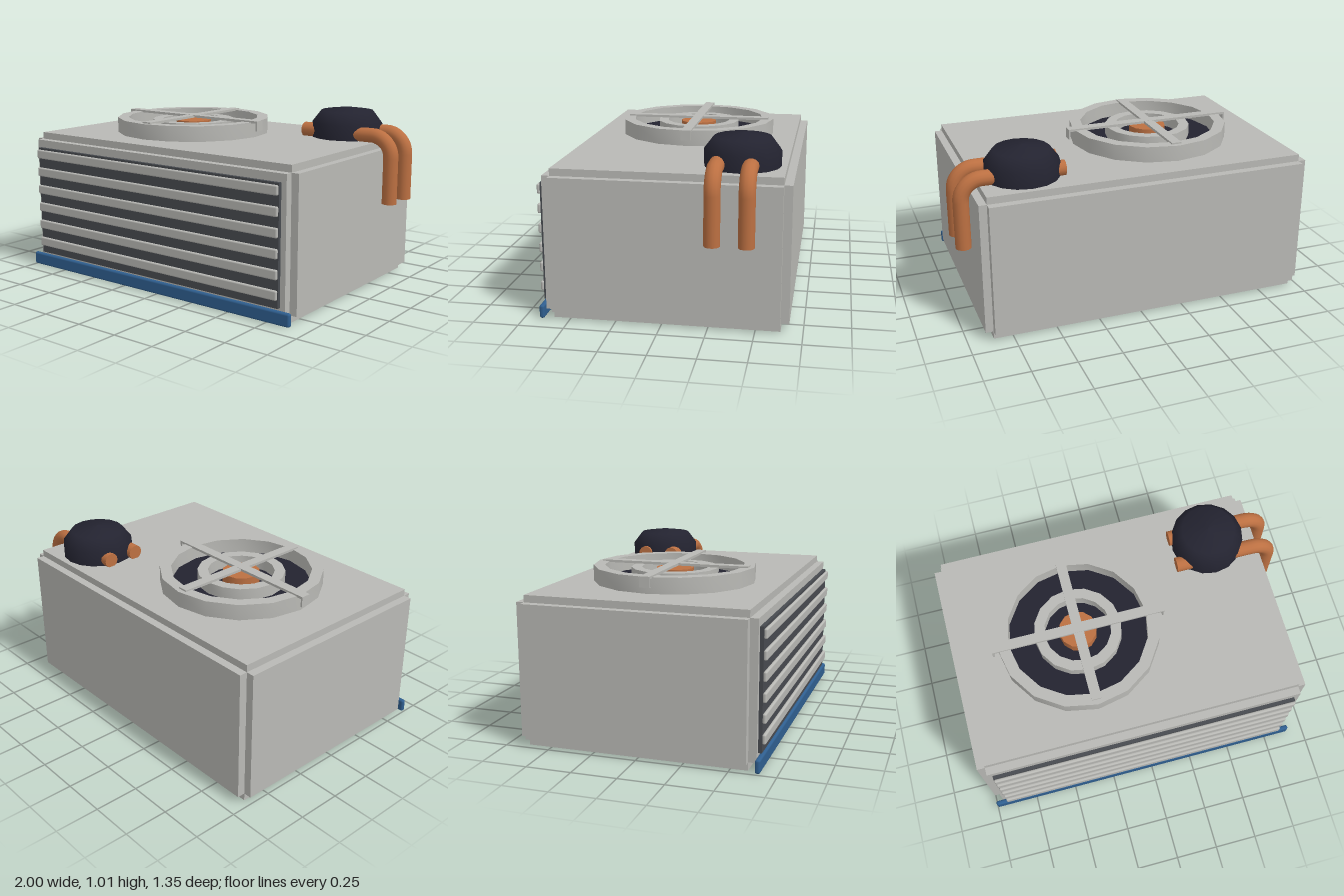
import * as THREE from 'three';
import { toCreasedNormals } from 'three/addons/utils/BufferGeometryUtils.js';
import { RoundedBoxGeometry } from 'three/addons/geometries/RoundedBoxGeometry.js';

const material = (name, color) => {
  const m = new THREE.MeshStandardMaterial({ color });
  m.name = name;
  return m;
};

export function createModel() {
  const model = new THREE.Group();
  model.name = 'condenserUnit';
  const grey = material('casingGrey', 0xb9b9b5);
  const slate = material('grilleSlate', 0x484b50);
  const navy = material('darkNavy', 0x232330);
  const copper = material('copper', 0xbc7042);
  const blue = material('trimBlue', 0x2f5f90);

  const add = (name, geometry, mat, x = 0, y = 0, z = 0, parent = model) => {
    const mesh = new THREE.Mesh(geometry, mat);
    mesh.name = name;
    mesh.position.set(x, y, z);
    parent.add(mesh);
    return mesh;
  };
  // Box given by its low and high limits, optionally with rounded edges
  const block = (name, mat, [x0, x1], [y0, y1], [z0, z1], r = 0) => {
    const size = [x1 - x0, y1 - y0, z1 - z0];
    const geo = r ? new RoundedBoxGeometry(...size, 2, r) : new THREE.BoxGeometry(...size);
    return add(name, geo, mat, (x0 + x1) / 2, (y0 + y1) / 2, (z0 + z1) / 2);
  };

  // Casing: three crossing boxes leave a notch along every edge
  block('casingSides', grey, [-1, 0.9], [0.045, 0.79], [-0.632, 0.592]);
  block('casingTopAndBottom', grey, [-0.955, 0.857], [0, 0.83], [-0.632, 0.592]);
  block('casingFrontAndBack', grey, [-0.955, 0.857], [0.045, 0.79], [-0.677, 0.636]);

  // Front grille with six slats
  block('grillePanel', slate, [-0.928, 0.826], [0.09, 0.745], [0.63, 0.656]);
  for (let i = 0; i < 6; i++) {
    const y = 0.708 - i * 0.1092;
    block('grilleSlat', grey, [-0.928, 0.826], [y - 0.027, y + 0.027], [0.655, 0.675], 0.009);
  }
  block('baseTrim', blue, [-1, 0.9], [0.004, 0.079], [0.636, 0.664], 0.012);

  // Fan on the top
  const fan = new THREE.Group();
  fan.name = 'fan';
  fan.position.set(-0.27, 0.83, -0.025);
  model.add(fan);
  const ring = (name, inner, outer, height) => {
    const profile = [[inner, 0], [outer, 0], [outer, height], [inner, height], [inner, 0]]
      .map(([r, y]) => new THREE.Vector2(r, y));
    add(name, toCreasedNormals(new THREE.LatheGeometry(profile, 16), 0.7), grey, 0, 0, 0, fan);
  };
  add('fanWell', new THREE.CylinderGeometry(0.405, 0.405, 0.008, 16), navy, 0, 0.003, 0, fan);
  ring('outerRing', 0.4, 0.465, 0.09);
  ring('innerRing', 0.19, 0.25, 0.075);
  add('fanHub', new THREE.CylinderGeometry(0.108, 0.108, 0.07, 12), copper, 0, 0.035, 0, fan);
  // Guard: two flat crossing bars, the long one with tabs bent down outside the ring
  add('guardBarLong', new THREE.BoxGeometry(1, 0.014, 0.058), grey, 0, 0.092, 0, fan);
  add('guardBarShort', new THREE.BoxGeometry(0.058, 0.014, 0.87), grey, 0, 0.091, 0, fan);
  for (const side of [-1, 1]) {
    add('guardTab', new THREE.BoxGeometry(0.01, 0.06, 0.058), grey, side * 0.495, 0.069, 0, fan);
  }

  // Domed compressor
  const dome = [[0.207, 0.8], [0.207, 0.915], [0.154, 0.985], [0, 1.007]]
    .map(([r, y]) => new THREE.Vector2(r, y));
  add('compressorDome', new THREE.LatheGeometry(dome, 16), navy, 0.605, 0, -0.395);

  // Two copper pipes, bent down over the side, with closed ends
  const pipeRadius = 0.043;
  const path = new THREE.CurvePath();
  const v = (x, y) => new THREE.Vector3(x, y, 0);
  path.add(new THREE.LineCurve3(v(0.385, 0.867), v(0.842, 0.867)));
  path.add(new THREE.CubicBezierCurve3(v(0.842, 0.867), v(0.905, 0.867), v(0.957, 0.815), v(0.957, 0.752)));
  path.add(new THREE.LineCurve3(v(0.957, 0.752), v(0.957, 0.485)));
  for (const z of [-0.28, -0.456]) {
    add('copperPipe', new THREE.TubeGeometry(path, 48, pipeRadius, 14), copper, 0, 0, z);
    const cap = new THREE.CircleGeometry(pipeRadius, 14);
    add('pipeEndInner', cap, copper, 0.385, 0.867, z).rotation.y = -Math.PI / 2;
    add('pipeEndLower', cap, copper, 0.957, 0.485, z).rotation.x = Math.PI / 2;
  }
  return model;
}
